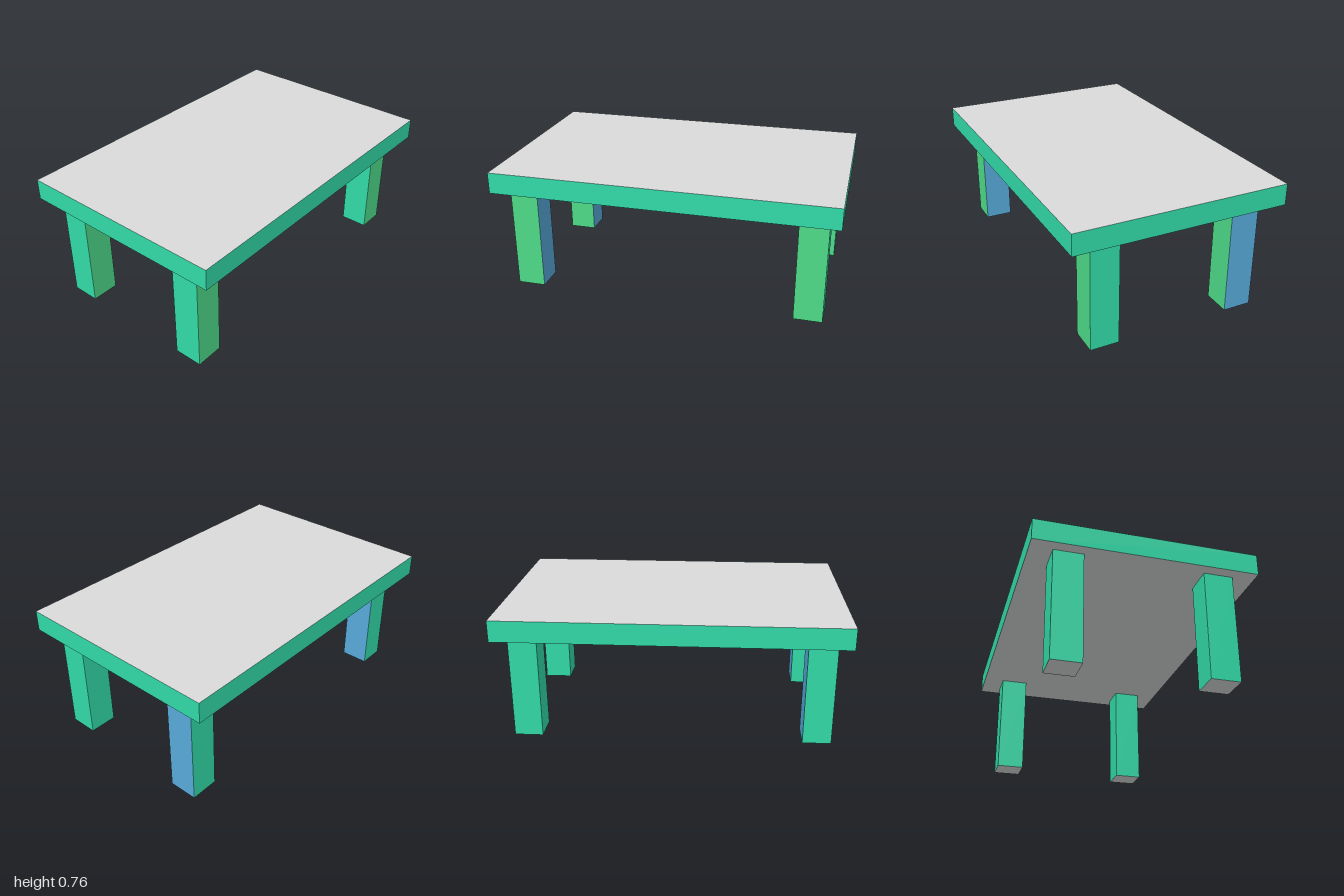
import * as THREE from 'three';

const material = (name, color) => {
  const m = new THREE.MeshStandardMaterial({ color });
  m.name = name;
  return m;
};

export function createModel() {
  const teal = material('teal', 0x32dba8);
  const green = material('green', 0x4edb89);
  const blue = material('blue', 0x58aadb);
  const grey = material('grey', 0xd9dbda);

  const table = new THREE.Group();
  table.name = 'table';

  // Box materials run in the order +x, -x, +y, -y, +z, -z
  const addBox = (name, size, position, materials) => {
    const mesh = new THREE.Mesh(new THREE.BoxGeometry(...size), materials);
    mesh.name = name;
    mesh.position.set(...position);
    table.add(mesh);
  };

  // Table top: teal edges, grey top and underside
  addBox('tableTop', [1.273, 0.125, 2], [0, 0.7025, 0], [teal, teal, grey, grey, teal, teal]);

  // Four legs; the back of each is blue, except on the back left one
  const legHeight = 0.64;
  for (const x of [1, -1]) {
    for (const z of [1, -1]) {
      const name = (z > 0 ? 'front' : 'back') + (x > 0 ? 'Left' : 'Right') + 'Leg';
      const rear = x > 0 && z < 0 ? teal : blue;
      addBox(name, [0.17, legHeight, 0.167], [x * 0.425, legHeight / 2, z * 0.85],
        [green, teal, grey, grey, teal, rear]);
    }
  }

  return table;
}
